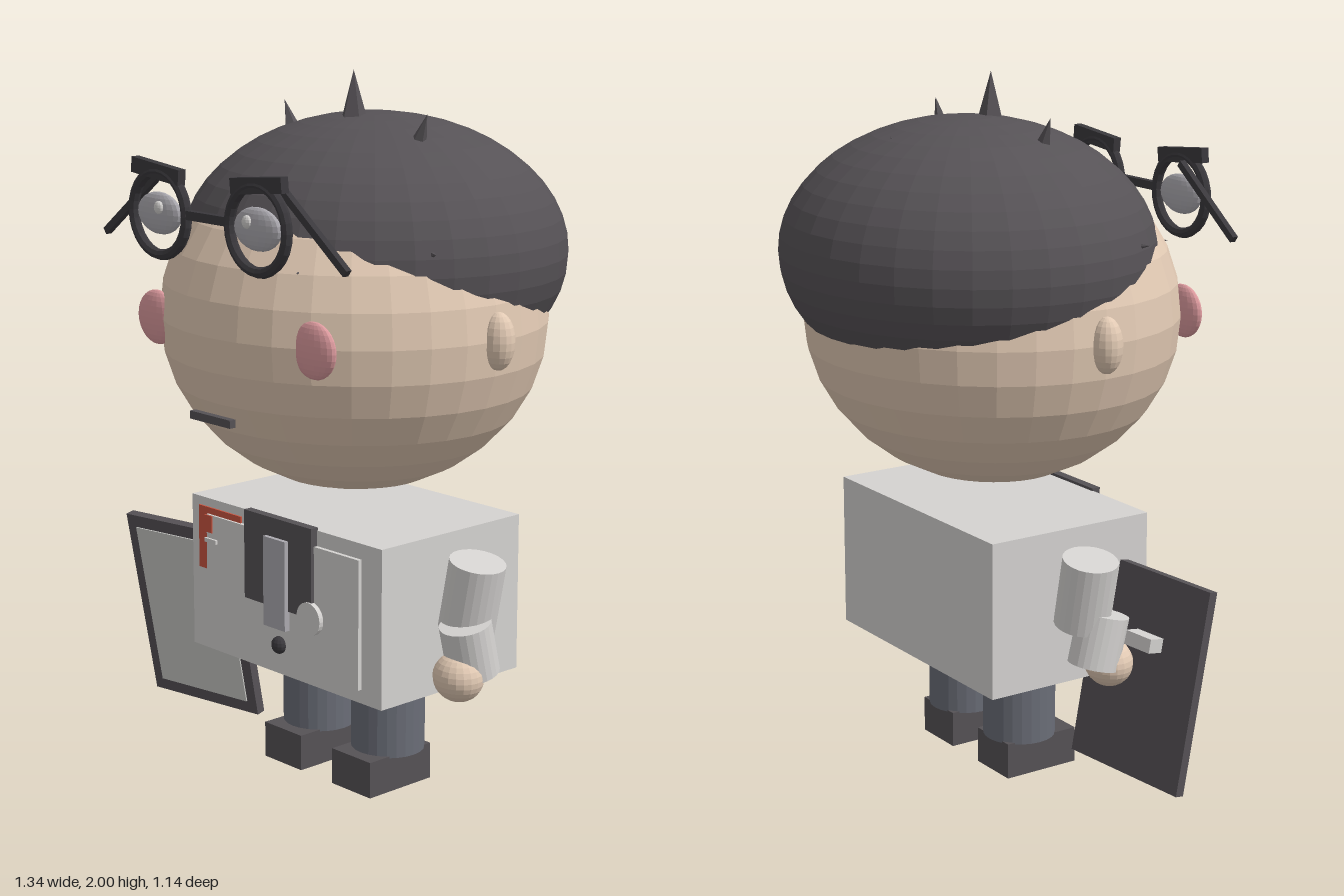
import * as THREE from 'three';

const CX = 0.07; // the figure's own centre line
const mat = (name, color) => {
  const m = new THREE.MeshStandardMaterial({ color, flatShading: true });
  m.name = name;
  return m;
};

export function createModel() {
  const model = new THREE.Group();
  const skin = mat('skin', 0xe2cab4), hairDark = mat('charcoal', 0x565256);
  const black = mat('frame black', 0x3a383c), pink = mat('cheek pink', 0xdc9a9e);
  const red = mat('badge red', 0xc9533f), light = mat('coat light grey', 0xd5d3d1);
  const grey = mat('mid grey', 0xacaab0), slate = mat('trouser slate', 0x6a6d77);
  const screenGrey = mat('screen grey', 0xc8c8c5);

  const add = (name, geo, m, x, y, z, rx = 0, ry = 0, rz = 0, parent = model) => {
    const mesh = new THREE.Mesh(geo, m);
    mesh.name = name;
    mesh.position.set(x, y, z);
    mesh.rotation.set(rx, ry, rz);
    parent.add(mesh);
    return mesh;
  };
  const box = (name, m, w, h, d, ...at) => add(name, new THREE.BoxGeometry(w, h, d), m, ...at);
  const ball = (name, m, rx, ry, rz, x, y, z, a = 32, b = 16) =>
    add(name, new THREE.SphereGeometry(1, a, b).scale(rx, ry, rz), m, x, y, z);
  const tube = (name, m, r, h, ...at) => add(name, new THREE.CylinderGeometry(r, r, h, 24), m, ...at);

  // Head, and a flatter dome of hair set up and back from it
  const hairCentre = new THREE.Vector3(CX, 1.505, -0.05);
  ball('head', skin, 0.555, 0.487, 0.525, CX, 1.33, 0.028);
  ball('hair', hairDark, 0.555, 0.378, 0.52, ...hairCentre.toArray(), 32, 24);
  box('mouth', hairDark, 0.165, 0.022, 0.02, CX, 1.108, 0.537);

  // Hair spikes, each pointing along dir with its tip at the given place
  const spike = (tip, dir, r, h) => {
    const d = dir.clone().normalize();
    const cone = add('hairSpike', new THREE.ConeGeometry(r, h, 5), hairDark, 0, 0, 0);
    cone.position.copy(tip).addScaledVector(d, -h / 2);
    cone.quaternion.setFromUnitVectors(new THREE.Vector3(0, 1, 0), d);
  };
  spike(new THREE.Vector3(CX, 2, 0.028), new THREE.Vector3(0, 1, 0), 0.045, 0.16);
  for (const s of [-1, 1]) {
    spike(new THREE.Vector3(CX + s * 0.285, 1.9, 0.028), new THREE.Vector3(s * 0.42, 1, 0), 0.04, 0.15);
  }
  const stubs = [[0, 1.71, 0.412], [0, 1.845, -0.3], [-0.5, 1.57, 0.205], [0.5, 1.57, 0.205],
    [-0.25, 1.52, 0.46], [0.25, 1.52, 0.46]];
  for (const [x, y, z] of stubs) {
    const tip = new THREE.Vector3(CX + x, y, z);
    spike(tip, tip.clone().sub(hairCentre), 0.025, 0.09);
  }

  // Paired parts: s = 1 is the model's left
  for (const s of [-1, 1]) {
    const at = (d) => CX + s * d;
    ball('ear', skin, 0.048, 0.078, 0.042, at(0.552), 1.33, 0.025, 16, 12);
    ball('cheek', pink, 0.08, 0.076, 0.025, at(0.322), 1.33, 0.463, 20, 14);

    // Glasses with eyes inside the rims
    add('glassesRim', new THREE.TorusGeometry(0.112, 0.015, 8, 28), black, at(0.2), 1.638, 0.545);
    ball('eye', grey, 0.09, 0.057, 0.022, at(0.2), 1.638, 0.545, 20, 12);
    ball('eyeGlint', light, 0.018, 0.018, 0.01, at(0.18), 1.656, 0.564, 10, 8);
    box('glassesBrow', black, 0.2, 0.042, 0.025, at(0.205), 1.75, 0.545, 0, 0, s * 0.1);
    box('glassesArm', black, 0.3, 0.02, 0.018, at(0.37), 1.645, 0.503, 0, 0, -s * 0.65);

    // Arms
    tube('upperArm', light, 0.078, 0.2, at(0.47), 0.62, 0.026, 0, 0, -s * 0.2);
    tube('forearm', light, 0.072, 0.15, at(0.49), 0.482, 0.055, 0.24, 0, 0);
    ball('hand', skin, 0.074, 0.068, 0.066, at(0.487), 0.408, 0.093, 20, 14);

    // Legs and shoes
    tube('leg', slate, 0.105, 0.27, at(0.145), 0.235, 0.028);
    box('shoe', hairDark, 0.157, 0.105, 0.235, at(0.145), 0.0525, 0.053);
  }
  box('glassesBridge', black, 0.16, 0.024, 0.02, CX, 1.645, 0.545);

  // Torso and the pieces on its chest
  box('torso', light, 0.79, 0.448, 0.525, CX, 0.559, 0.029);
  box('badge', red, 0.185, 0.184, 0.006, -0.198, 0.666, 0.294);
  box('chestPanel', light, 0.635, 0.365, 0.012, CX, 0.557, 0.298);
  box('badgeCorner', red, 0.032, 0.05, 0.004, -0.237, 0.713, 0.306);
  box('badgeBar', light, 0.05, 0.012, 0.01, -0.225, 0.665, 0.306);
  box('collar', hairDark, 0.28, 0.256, 0.026, CX, 0.663, 0.301);
  box('tie', grey, 0.09, 0.257, 0.018, CX, 0.608, 0.318);
  tube('pocketDisc', light, 0.047, 0.014, 0.202, 0.535, 0.312, Math.PI / 2);
  ball('button', black, 0.025, 0.025, 0.02, CX, 0.427, 0.309, 12, 8);

  // Framed board carried at the right side, leaning forward
  const board = new THREE.Group();
  board.name = 'board';
  board.position.set(-0.462, 0.37, 0.178);
  board.rotation.set(0.18, 0.12, 0);
  model.add(board);
  box('boardFrame', black, 0.422, 0.58, 0.028, 0, 0, 0, 0, 0, 0, board).material = hairDark;
  box('boardScreen', screenGrey, 0.35, 0.505, 0.008, 0, 0, 0.014, 0, 0, 0, board);
  box('boardHandle', light, 0.1, 0.04, 0.05, -0.02, 0.1, -0.038, 0, 0, 0, board);

  return model;
}
